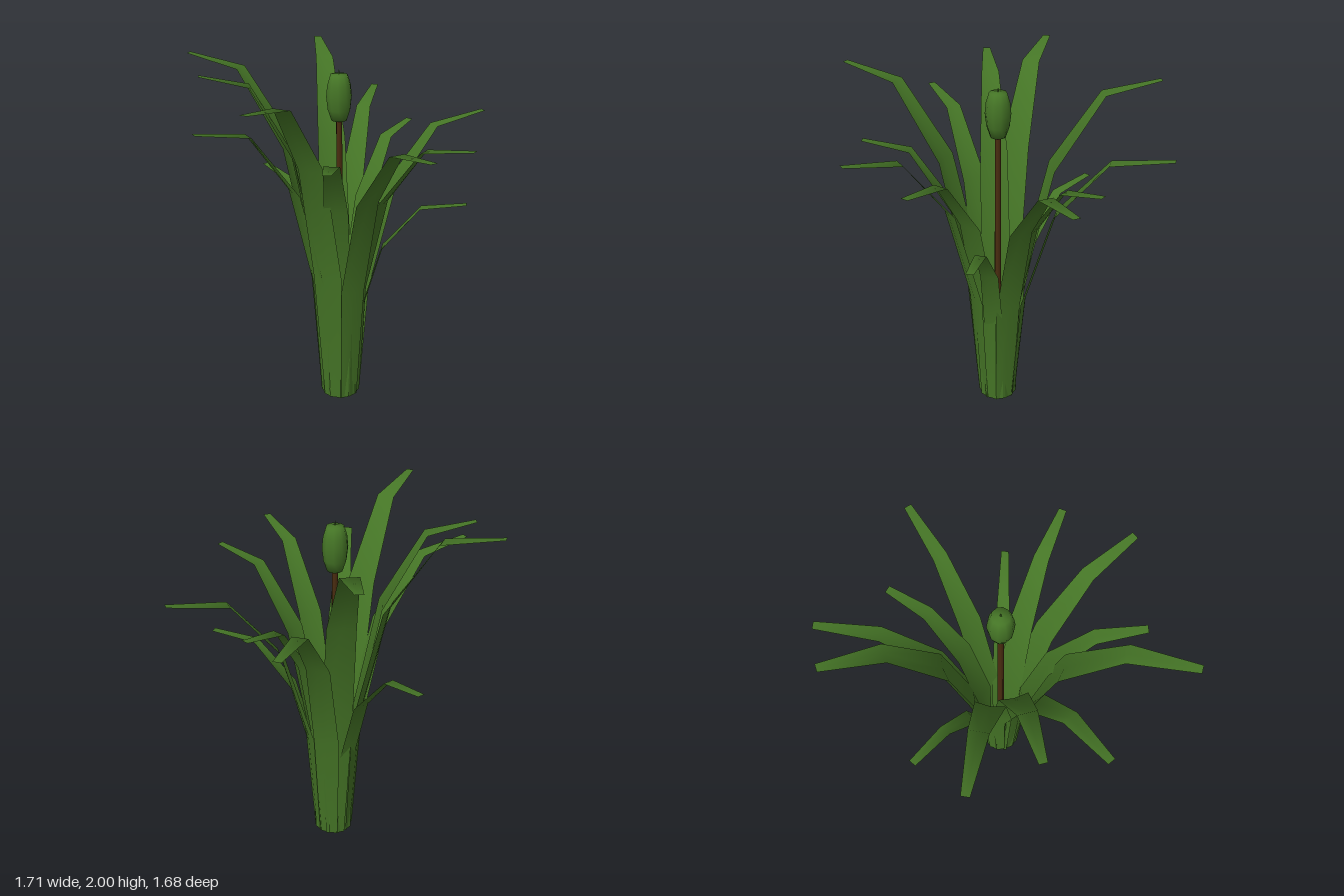
import * as THREE from 'three';

const leafGreen = new THREE.MeshStandardMaterial({ color: 0x457526, side: THREE.DoubleSide });
leafGreen.name = 'leafGreen';
const stemBrown = new THREE.MeshStandardMaterial({ color: 0x4a2c10 });
stemBrown.name = 'stemBrown';

// The clump grows slightly off the origin
const CX = -0.04, CZ = -0.04;

// Tip of each leaf: x, y, z
const TIPS = [
  [0.31, 1.97, -0.84], [0.635, 1.66, -0.69], [0.595, 1.55, -0.265], [0.853, 1.65, 0.095],
  [0.47, 1.265, 0.44], [0.295, 1.665, 0.685], [-0.08, 1.72, 0.835], [-0.48, 1.655, 0.55],
  [-0.845, 1.975, 0.46], [-0.857, 1.745, -0.08], [-0.69, 1.955, -0.365], [-0.585, 2.0, -0.72],
  [-0.135, 1.27, -0.73],
];

// A strip of five shallow, keeled cross-sections: upright, then bent outward at the knee
function leafGeometry([x, y, z]) {
  const dx = x - CX, dz = z - CZ;
  const reach = Math.hypot(dx, dz);
  const ox = dx / reach, oz = dz / reach;
  const size = y / 1.7;
  // radius, height, width
  const rows = [
    [0.1, 0, 0.11],
    [0.165 * reach, 0.42 * y, 0.15 * size],
    [0.34 * reach, 0.765 * y, 0.135 * size],
    [0.645 * reach, 0.97 * y, 0.085 * size],
    [reach, y, 0.042],
  ];
  const positions = [], index = [];
  rows.forEach(([r, h, w], i) => {
    for (let j = -1; j <= 1; j++) {
      const keel = j === 0 && i < 3 ? 0.07 * w : 0;
      const side = j * w / 2;
      positions.push(CX + ox * (r + keel) - oz * side, h, CZ + oz * (r + keel) + ox * side);
    }
    if (i === 0) return;
    for (let j = 0; j < 2; j++) {
      const a = (i - 1) * 3 + j, b = a + 3;
      // front faces look inward and up
      index.push(a, a + 1, b, a + 1, b + 1, b);
    }
  });
  const g = new THREE.BufferGeometry();
  g.setAttribute('position', new THREE.Float32BufferAttribute(positions, 3));
  g.setIndex(index);
  g.computeVertexNormals();
  return g;
}

export function createModel() {
  const plant = new THREE.Group();
  plant.name = 'plant';

  // Ring of leaves
  const leaves = new THREE.Group();
  leaves.name = 'leaves';
  TIPS.forEach((tip, i) => {
    const leaf = new THREE.Mesh(leafGeometry(tip), leafGreen);
    leaf.name = 'leaf' + (i + 1);
    leaves.add(leaf);
  });
  plant.add(leaves);

  // Flower stalk
  const stem = new THREE.Mesh(new THREE.CylinderGeometry(0.016, 0.022, 1.72, 8), stemBrown);
  stem.name = 'stem';
  stem.position.set(CX, 0.86, CZ);
  plant.add(stem);

  // Closed bud
  const profile = [[0, 1.7], [0.042, 1.7], [0.062, 1.76], [0.07, 1.83], [0.064, 1.89], [0.047, 1.945], [0, 1.95]]
    .map(([r, y]) => new THREE.Vector2(r, y));
  const bud = new THREE.Mesh(new THREE.LatheGeometry(profile, 10), leafGreen);
  bud.name = 'bud';
  bud.position.set(CX, 0, CZ);
  plant.add(bud);

  // Small point on top of the bud
  const point = new THREE.Mesh(new THREE.ConeGeometry(0.006, 0.03, 5), leafGreen);
  point.name = 'budPoint';
  point.position.set(CX, 1.96, CZ);
  plant.add(point);

  return plant;
}
